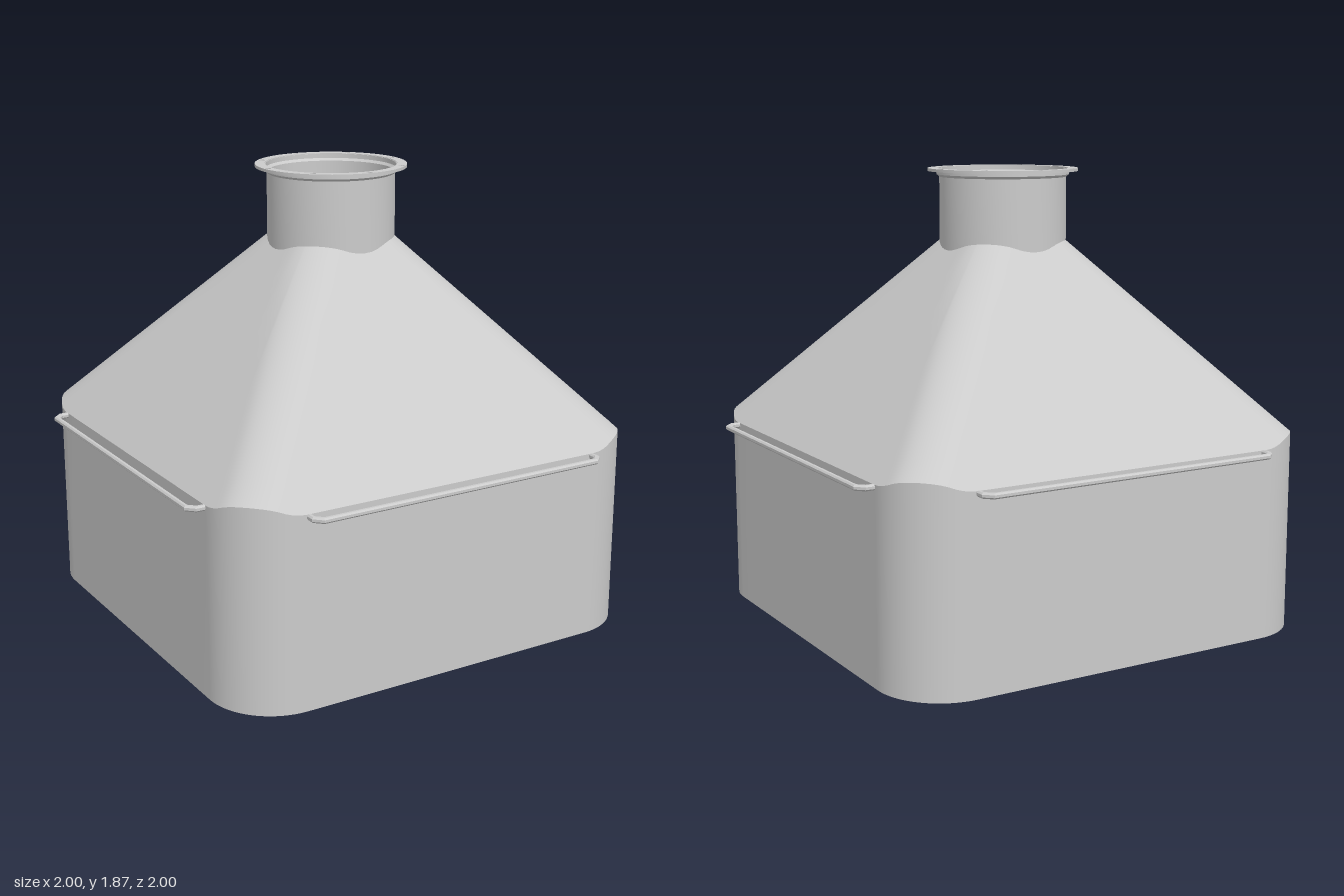
import * as THREE from 'three';
import { toCreasedNormals } from 'three/addons/utils/BufferGeometryUtils.js';

const HALF = 0.93, CORNER = 0.27;      // plan of the body
const EAVE = 0.78, SLOPE = 1.14;       // roof height at the eave and pitch
const RIDGE = 0.16;                    // rounding of the roof ridges
const NECK = 0.262;                    // outside radius of the outlet pipe

const grey = new THREE.MeshStandardMaterial({ color: 0xcccccc, side: THREE.DoubleSide });

function addMesh(parent, name, geometry) {
  const mesh = new THREE.Mesh(geometry, grey);
  mesh.name = name;
  parent.add(mesh);
  return mesh;
}

// Rounded-square outline, counter-clockwise seen from above
function outline() {
  const pts = [], c = HALF - CORNER, arcSteps = 16, sideSteps = 12;
  for (let k = 0; k < 4; k++) {
    const turn = (p) => p.rotateAround(new THREE.Vector2(), k * Math.PI / 2);
    for (let i = 0; i <= arcSteps; i++) {
      const a = (i / arcSteps) * Math.PI / 2;
      pts.push(turn(new THREE.Vector2(c + CORNER * Math.cos(a), c + CORNER * Math.sin(a))));
    }
    for (let i = 1; i < sideSteps; i++) {
      pts.push(turn(new THREE.Vector2(c - 2 * c * i / sideSteps, HALF)));
    }
  }
  return pts;
}

// Height of a four-sided roof whose ridges are rounded
function roofHeight(p) {
  const a = Math.abs(p.x), b = Math.abs(p.y), d = a - b;
  const h = Math.abs(d) < RIDGE
    ? RIDGE + (a + b - Math.sqrt(2 * RIDGE * RIDGE - d * d)) / 2
    : Math.max(a, b);
  return EAVE + SLOPE * (HALF - h);
}

// Skin over closed loops of equal length
function loft(loops) {
  const n = loops[0].length, position = [], index = [];
  loops.forEach((loop) => loop.forEach((v) => position.push(v.x, v.y, v.z)));
  for (let r = 0; r < loops.length - 1; r++) {
    for (let i = 0; i < n; i++) {
      const j = (i + 1) % n, a = r * n + i, b = r * n + j;
      index.push(a, b, b + n, a, b + n, a + n);
    }
  }
  const g = new THREE.BufferGeometry();
  g.setAttribute('position', new THREE.Float32BufferAttribute(position, 3));
  g.setIndex(index);
  g.computeVertexNormals();
  return g;
}

export function createModel() {
  const model = new THREE.Group();
  model.name = 'ductHood';
  const plan = outline();
  const lift = (p, y) => new THREE.Vector3(p.x, y, -p.y);

  // Body walls end in the curve where they meet the roof
  addMesh(model, 'bodyWalls', loft([
    plan.map((p) => lift(p, 0)),
    plan.map((p) => lift(p, roofHeight(p))),
  ]));

  // Closed bottom
  const floor = new THREE.ShapeGeometry(new THREE.Shape(plan));
  addMesh(model, 'bottomPlate', floor.rotateX(Math.PI / 2));

  // Roof runs from the eave in to the neck
  const rings = 12, roofLoops = [];
  for (let r = 0; r <= rings; r++) {
    roofLoops.push(plan.map((p) => {
      const q = p.clone().lerp(p.clone().setLength(NECK), r / rings);
      return lift(q, roofHeight(q));
    }));
  }
  addMesh(model, 'roof', loft(roofLoops));

  // Outlet pipe with a slightly wider lip
  const pipeProfile = [
    [NECK - 0.006, 1.52], [NECK, 1.52], [NECK, 1.835], [0.274, 1.845],
    [0.274, 1.868], [0.266, 1.868], [0.266, 1.85], [NECK - 0.006, 1.84], [NECK - 0.006, 1.52],
  ].map(([x, y]) => new THREE.Vector2(x, y));
  addMesh(model, 'outletPipe', toCreasedNormals(new THREE.LatheGeometry(pipeProfile, 48), 0.5));

  // Flange ring with eight bolt holes
  const ring = new THREE.Shape().absarc(0, 0, 0.31, 0, Math.PI * 2);
  ring.holes.push(new THREE.Path().absarc(0, 0, 0.27, 0, Math.PI * 2, true));
  for (let i = 0; i < 8; i++) {
    const a = i * Math.PI / 4;
    ring.holes.push(new THREE.Path().absarc(
      0.292 * Math.cos(a), 0.292 * Math.sin(a), 0.012, 0, Math.PI * 2, true));
  }
  const flange = new THREE.ExtrudeGeometry(ring, { depth: 0.012, bevelEnabled: false, curveSegments: 24 });
  flange.rotateX(-Math.PI / 2).translate(0, 1.858, 0);
  addMesh(model, 'flange', toCreasedNormals(flange, 0.5));

  // One bevelled rail bracket on each side, with chamfered corners
  const bar = (x, z, cut) => [[-x, 0.925], [-x, z - cut], [-x + cut, z], [x - cut, z], [x, z - cut], [x, 0.925]];
  const railPoints = [...bar(0.655, 0.994, 0.03), ...bar(0.645, 0.984, 0.026).reverse()]
    .map(([x, z]) => new THREE.Vector2(x, z));
  const rail = new THREE.ExtrudeGeometry(new THREE.Shape(railPoints), {
    depth: 0.01, bevelThickness: 0.006, bevelSize: 0.006, bevelSegments: 1,
  });
  rail.rotateX(Math.PI / 2).translate(0, 0.775, 0);
  ['frontRail', 'leftRail', 'backRail', 'rightRail'].forEach((name, i) => {
    addMesh(model, name, rail).rotation.y = i * Math.PI / 2;
  });

  return model;
}
